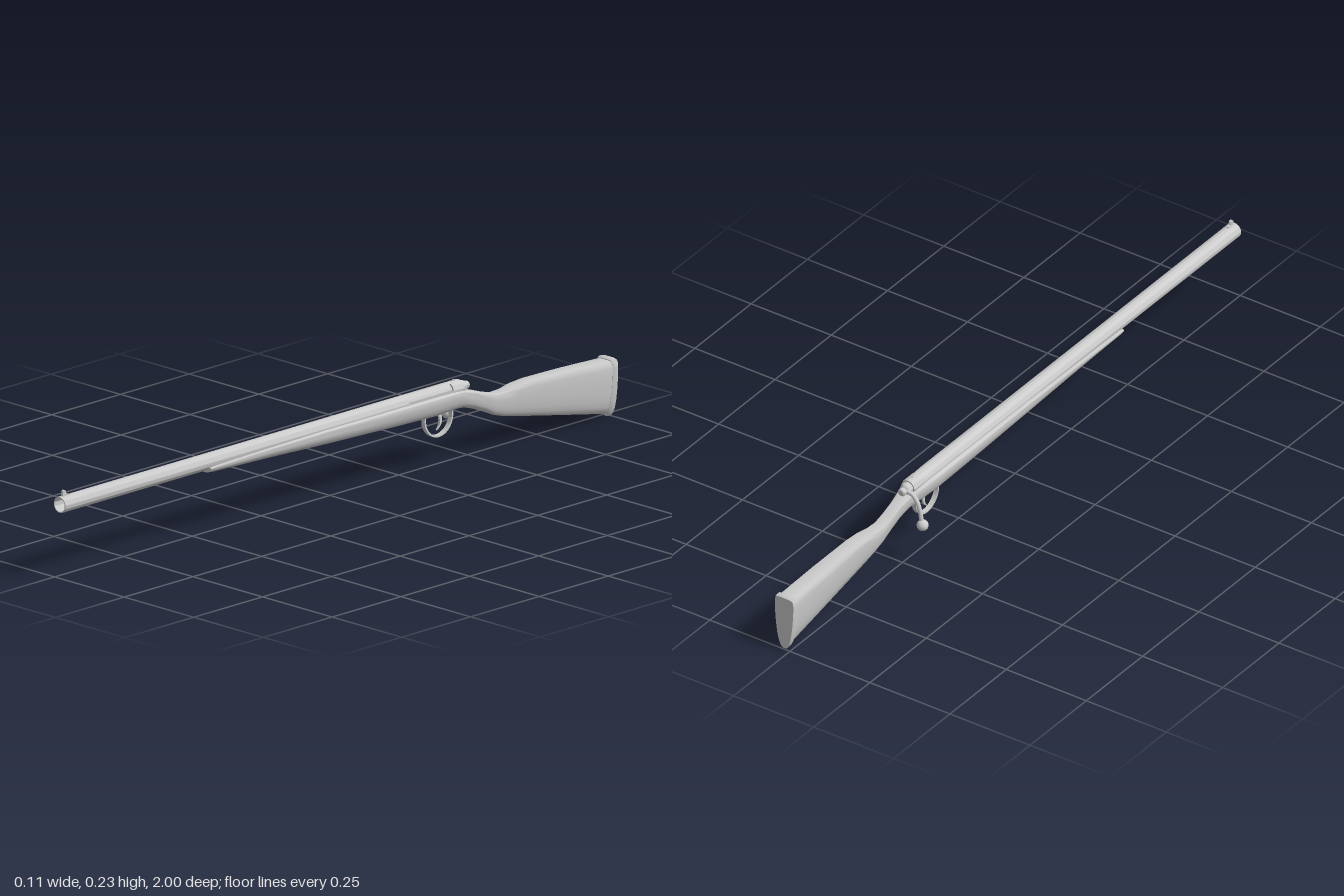
import * as THREE from 'three';
import { toCreasedNormals } from 'three/addons/utils/BufferGeometryUtils.js';

const CX = 0.018; // centre line of the barrel and stock
const BY = 0.197; // height of the bore axis

// Half section of the stock: [fraction of half width, fraction of height]
const HALF = [[0, 0], [0.2, 0.012], [0.4, 0.06], [0.58, 0.14], [0.74, 0.27], [0.87, 0.45],
  [0.96, 0.66], [1, 0.85], [0.97, 0.94], [0.86, 0.985], [0.5, 1], [0, 1]];

// Loft through stations [z, top, bottom, half width], front to back
function loft(stations) {
  const section = [...HALF, ...HALF.slice(1, -1).reverse().map(([u, v]) => [-u, v])];
  const n = section.length, pos = [], idx = [];
  for (const [z, top, bottom, w] of stations)
    for (const [u, v] of section) pos.push(CX + u * w, bottom + v * (top - bottom), z);
  const last = stations.length - 1;
  for (let s = 0; s < last; s++) {
    for (let i = 0; i < n; i++) {
      const a = s * n + i, b = s * n + (i + 1) % n;
      idx.push(a, a + n, b, b, a + n, b + n);
    }
  }
  for (const [s, flip] of [[0, false], [last, true]]) {
    const c = pos.length / 3, [z, top, bottom] = stations[s];
    pos.push(CX, (top + bottom) / 2, z);
    for (let i = 0; i < n; i++) {
      const a = s * n + i, b = s * n + (i + 1) % n;
      if (flip) idx.push(c, b, a); else idx.push(c, a, b);
    }
  }
  const g = new THREE.BufferGeometry();
  g.setAttribute('position', new THREE.Float32BufferAttribute(pos, 3));
  g.setIndex(idx);
  return toCreasedNormals(g, 0.7);
}

// Turned part along z from a profile of [radius, z], listed back to front
function turned(profile, start = 0, length = Math.PI * 2) {
  const g = new THREE.LatheGeometry(profile.map(([r, z]) => new THREE.Vector2(r, z)), 40, start, length);
  g.rotateX(Math.PI / 2);
  return toCreasedNormals(g.translate(CX, BY, 0), 0.6);
}

export function createModel() {
  const group = new THREE.Group();
  const solid = new THREE.MeshStandardMaterial({ color: 0xcccccc });
  const open = new THREE.MeshStandardMaterial({ color: 0xcccccc, side: THREE.DoubleSide });
  const add = (name, geometry, material = solid) => {
    const mesh = new THREE.Mesh(geometry, material);
    mesh.name = name;
    group.add(mesh);
    return mesh;
  };

  // One-piece stock: fore-end, wrist and butt
  add('stock', loft([
    [0.475, 0.186, 0.171, 0.025], [0.46, 0.188, 0.169, 0.027], [0.25, 0.193, 0.161, 0.029],
    [0.05, 0.196, 0.152, 0.031], [-0.2, 0.196, 0.143, 0.033], [-0.35, 0.196, 0.139, 0.033],
    [-0.41, 0.195, 0.141, 0.031], [-0.44, 0.193, 0.142, 0.028], [-0.465, 0.187, 0.139, 0.022],
    [-0.5, 0.177, 0.128, 0.017], [-0.54, 0.163, 0.111, 0.0165], [-0.575, 0.153, 0.095, 0.0175],
    [-0.61, 0.154, 0.084, 0.019], [-0.65, 0.161, 0.075, 0.021], [-0.7, 0.164, 0.065, 0.0225],
    [-0.84, 0.161, 0.037, 0.0255], [-0.982, 0.155, 0.009, 0.028],
  ]));
  add('buttPlate', loft([
    [-0.98, 0.157, 0.006, 0.0285], [-0.984, 0.16, 0.002, 0.0305],
    [-0.996, 0.16, 0.001, 0.0305], [-1, 0.157, 0.004, 0.029],
  ]));

  // Barrel with an open bore closed deep inside
  add('barrel', turned([[0.0215, -0.25], [0.0215, 0.998], [0.021, 1], [0.0185, 1],
    [0.018, 0.998], [0.018, 0.5], [0, 0.5]]), open);

  // Receiver with a loading port on the upper left, then its rear ring
  add('receiver', turned([[0.018, -0.25], [0.018, -0.41], [0.0215, -0.41], [0.0215, -0.25]],
    2.65, Math.PI * 2 - 0.95), open);
  add('receiverRing', turned([[0.014, -0.45], [0.02, -0.45], [0.0215, -0.445], [0.0215, -0.41], [0.014, -0.41]]), open);

  // Bolt body and rounded rear shroud
  add('bolt', turned([[0, -0.483], [0.008, -0.482], [0.011, -0.478], [0.011, -0.472], [0.0095, -0.469],
    [0.0145, -0.465], [0.0165, -0.458], [0.0165, -0.27], [0.012, -0.25], [0, -0.25]]), open);

  // Curved bolt handle with a ball end
  const handlePath = new THREE.CatmullRomCurve3([[0.01, 0.197], [-0.008, 0.193], [-0.022, 0.177],
    [-0.031, 0.152], [-0.036, 0.12]].map(([x, y]) => new THREE.Vector3(x, y, -0.466)));
  add('boltHandle', new THREE.TubeGeometry(handlePath, 24, 0.006, 12));
  add('boltKnob', new THREE.SphereGeometry(0.0155, 24, 16).translate(-0.039, 0.112, -0.466));

  // Flat strips cut from a side outline drawn in [z, y]
  const sideStrip = (shape, width) => {
    const g = new THREE.ExtrudeGeometry(shape, { depth: width, bevelEnabled: false, curveSegments: 32 });
    g.translate(0, 0, -width / 2).rotateY(-Math.PI / 2).translate(CX, 0, 0);
    return toCreasedNormals(g, 0.6);
  };

  // Trigger guard loop
  const guard = new THREE.Shape();
  guard.absellipse(-0.372, 0.133, 0.052, 0.052, 0, Math.PI * 2);
  const hole = new THREE.Path();
  hole.absellipse(-0.372, 0.133, 0.047, 0.047, 0, Math.PI * 2, true);
  guard.holes.push(hole);
  add('triggerGuard', sideStrip(guard, 0.0125));

  // Curved trigger
  const trigger = new THREE.Shape();
  trigger.moveTo(-0.37, 0.145);
  trigger.quadraticCurveTo(-0.388, 0.118, -0.368, 0.099);
  trigger.quadraticCurveTo(-0.396, 0.114, -0.382, 0.145);
  add('trigger', sideStrip(trigger, 0.006));

  // Front sight: small ramp with an upright blade
  const sight = new THREE.Shape();
  sight.moveTo(0.966, 0.214);
  sight.lineTo(0.97, 0.221);
  sight.lineTo(0.979, 0.223);
  sight.lineTo(0.98, 0.231);
  sight.quadraticCurveTo(0.985, 0.237, 0.99, 0.231);
  sight.lineTo(0.992, 0.214);
  add('frontSight', sideStrip(sight, 0.007));

  // Small stud on the receiver ring
  add('receiverStud', new THREE.CylinderGeometry(0.003, 0.003, 0.008, 12).translate(CX, 0.217, -0.43));

  return group;
}
